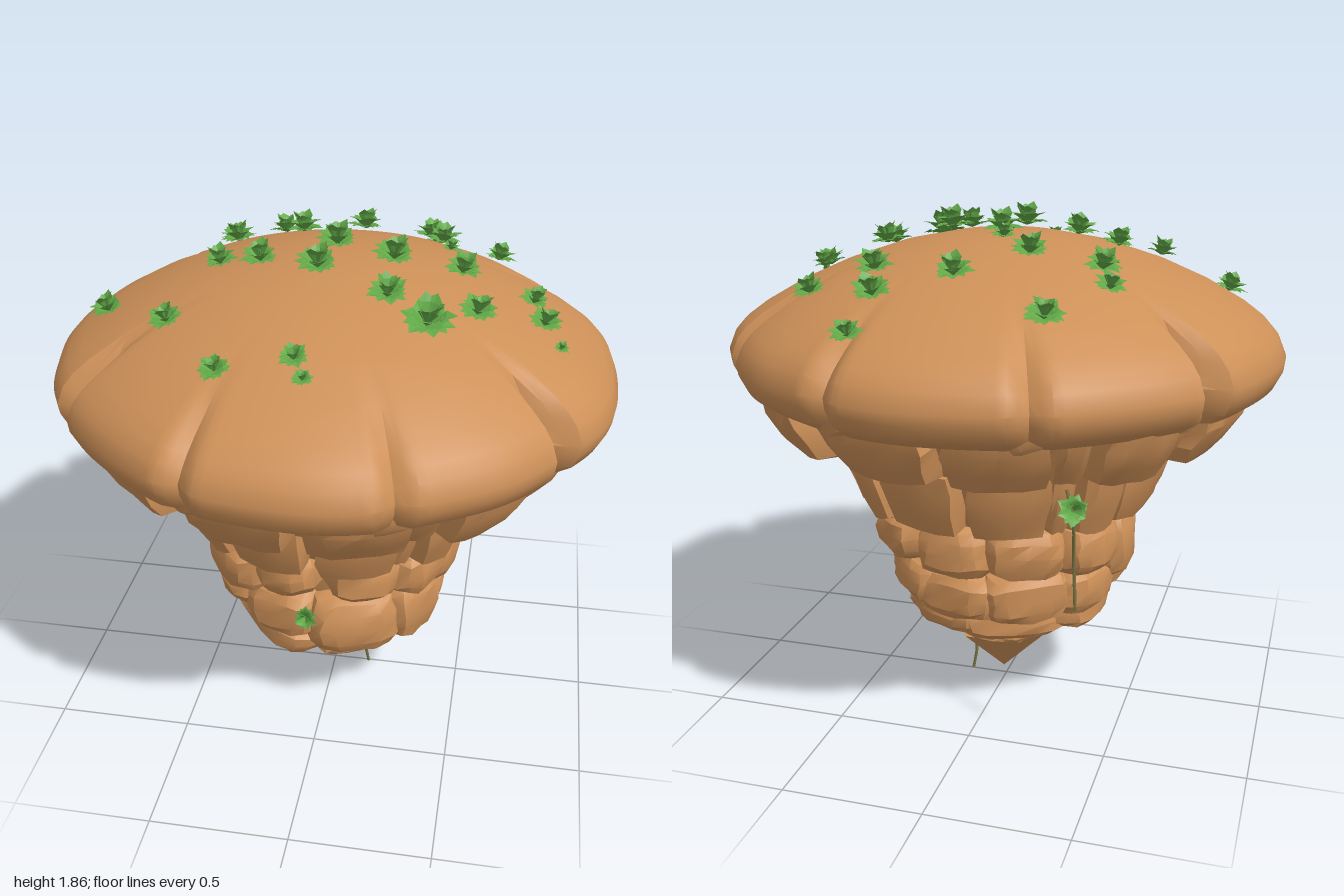
import * as THREE from 'three';
import { toCreasedNormals } from 'three/addons/utils/BufferGeometryUtils.js';

const mat = (name, color, side = THREE.FrontSide) => {
  const m = new THREE.MeshStandardMaterial({ color, side });
  m.name = name;
  return m;
};
const rad = THREE.MathUtils.degToRad;
const { smoothstep } = THREE.MathUtils;

// Repeatable noise in -1..1, equal for equal positions
function noise(x, y, z, seed) {
  const q = (v) => Math.round(v * 500) / 500;
  const s = Math.sin(q(x) * 12.99 + q(y) * 78.23 + q(z) * 37.72 + seed * 9.17) * 43758.5453;
  return (s - Math.floor(s)) * 2 - 1;
}

// Moves every vertex by a rule, then restores normals with sharp creases
function reshape(geo, rule, crease = 0.5) {
  const p = geo.attributes.position;
  const v = new THREE.Vector3();
  for (let i = 0; i < p.count; i++) {
    rule(v.fromBufferAttribute(p, i));
    p.setXYZ(i, v.x, v.y, v.z);
  }
  return toCreasedNormals(geo, crease);
}

// Rounded unit block (-1..1) with rough sides
function roughen(v, power, rough, seed) {
  const n = [noise(v.x, v.y, v.z, seed), noise(v.y, v.z, v.x, seed + 3), noise(v.z, v.x, v.y, seed + 7)];
  const k = (Math.abs(v.x) ** power + Math.abs(v.y) ** power + Math.abs(v.z) ** power) ** (-1 / power);
  v.multiplyScalar(k);
  v.x += n[0] * rough; v.y += n[1] * rough; v.z += n[2] * rough;
}

// Block bent round the axis between two angles
function ringBlock(a0, a1, y0, y1, rIn, rTop, rBottom, seed) {
  return reshape(new THREE.BoxGeometry(2, 2, 2, 4, 3, 2), (v) => {
    roughen(v, 6, 0.05, seed);
    const a = rad((a0 + a1) / 2 + (v.x * (a1 - a0)) / 2);
    const t = (v.y + 1) / 2;
    const rOut = rBottom + (rTop - rBottom) * t;
    const r = rIn + ((rOut - rIn) * (v.z + 1)) / 2;
    v.set(r * Math.sin(a), y0 + (y1 - y0) * t, r * Math.cos(a));
  });
}

function boulder(w, h, d, seed, power = 3) {
  return reshape(new THREE.BoxGeometry(2, 2, 2, 4, 4, 4), (v) => {
    roughen(v, power, 0.05, seed);
    v.set((v.x * w) / 2, (v.y * h) / 2, (v.z * d) / 2);
  }, 0.5);
}

// Cap profile from the underside up to the crown
const CAP = [[0, 1.27], [0.6, 1.25], [0.84, 1.23], [0.92, 1.235], [0.97, 1.27], [0.995, 1.32], [1, 1.36], [0.975, 1.42],
  [0.94, 1.46], [0.88, 1.505], [0.75, 1.58], [0.6, 1.647], [0.4, 1.715], [0.2, 1.757], [0, 1.77]];
// Angle and depth of each crack, deep on the sides and shallow at front and back
const CRACKS = [20, 58, 122, 160, 200, 238, 302, 340].map((a, i) => [a, i % 4 === 1 || i % 4 === 2 ? 0.09 : 0.04]);

function capHeight(r) {
  const i = CAP.findIndex(([r1], k) => k > 6 && r1 <= r);
  const [r1, y1] = CAP[i], [r0, y0] = CAP[i - 1];
  return y1 + ((y0 - y1) * (r - r1)) / (r0 - r1);
}

function capGeometry() {
  const geo = new THREE.LatheGeometry(CAP.map(([r, y]) => new THREE.Vector2(r, y)), 180);
  return reshape(geo, (v) => {
    const r = Math.hypot(v.x, v.z);
    if (r < 0.01) return;
    const deg = (THREE.MathUtils.radToDeg(Math.atan2(v.x, v.z)) + 360) % 360;
    let s = 1 + 0.004 * Math.sin(rad(deg * 11)) * smoothstep(r, 0.7, 1);
    for (const [a, depth] of CRACKS) {
      const k = Math.max(0, 1 - Math.abs(deg - a) / 3.5);
      s -= depth * k * smoothstep(r, 0.75, 0.95);
      if (v.y > 1.4) v.y -= depth * 0.5 * k * smoothstep(r, 0.66, 0.85);
    }
    // Slightly flatter lobes on the diagonals
    const diagonal = Math.abs(Math.sin(rad(2 * deg)));
    s -= 0.016 * smoothstep(diagonal, 0.6, 0.95) * smoothstep(r, 0.6, 0.95);
    v.x *= s; v.z *= s;
  }, 0.6);
}

// Rosette of pointed, folded leaves
function tuftGeometry() {
  const pos = [];
  [[11, 0.2, 0.068], [9, 0.6, 0.076], [7, 1.1, 0.074]].forEach(([count, lift, len], ring) => {
    for (let i = 0; i < count; i++) {
      const a = ((i + ring * 0.4) / count) * Math.PI * 2 + noise(i, ring, 1, 2) * 0.25;
      const l = len * (1 + 0.22 * noise(i, ring, 3, 5));
      const at = (out, side, up) => [
        out * Math.cos(a) - side * Math.sin(a), up, out * Math.sin(a) + side * Math.cos(a)];
      const base = at(0, 0, 0.005);
      const mid = at(l * 0.6 * Math.cos(lift), 0, l * 0.65 * Math.sin(lift) + 0.01);
      const tip = at(l * Math.cos(lift), 0, l * Math.sin(lift) + 0.004);
      const edge = (sd) => at(l * 0.55 * Math.cos(lift), sd * 0.026, l * 0.6 * Math.sin(lift) + 0.016);
      const L = edge(-1), R = edge(1);
      for (const tri of [[base, mid, L], [mid, tip, L], [base, R, mid], [mid, R, tip]]) pos.push(...tri.flat());
    }
  });
  const geo = new THREE.BufferGeometry();
  geo.setAttribute('position', new THREE.Float32BufferAttribute(pos, 3));
  geo.computeVertexNormals();
  return geo;
}

export function createModel() {
  const model = new THREE.Group();
  model.name = 'floatingRock';
  const rock = mat('rock', 0xcd9058);
  const leaf = mat('leaf', 0x62a948, THREE.DoubleSide);
  const stem = mat('stem', 0x7a7440);
  const add = (geo, material, name, parent = model) => {
    const m = new THREE.Mesh(geo, material);
    m.name = name;
    parent.add(m);
    return m;
  };
  const group = (name) => {
    const g = new THREE.Group();
    g.name = name;
    model.add(g);
    return g;
  };

  add(capGeometry(), rock, 'cap');

  // Core seen between the stones
  const core = [[0, 0.1], [0.16, 0.23], [0.23, 0.33], [0.31, 0.5], [0.36, 0.74], [0.43, 0.8],
    [0.54, 1.03], [0.68, 1.06], [0.8, 1.25], [0, 1.27]].map(([r, y]) => new THREE.Vector2(r, y));
  add(toCreasedNormals(new THREE.LatheGeometry(core, 24), 0.5), rock, 'core');

  // Pointed foot
  const tip = add(new THREE.ConeGeometry(0.21, 0.2, 6).toNonIndexed(), rock, 'tip');
  tip.geometry.computeVertexNormals();
  tip.rotation.set(Math.PI, 0.5, 0);
  tip.position.set(0.01, 0.135, 0);

  // Two rings of bent blocks, repeated each quarter turn
  const upper = group('upperBlocks'), lower = group('lowerBlocks');
  for (let q = 0; q < 4; q++) {
    const b = q * 90;
    [[0.8, 27, 0.925], [27, 35.5, 0.87], [35.5, 54.5, 0.94], [54.5, 63, 0.87], [63, 89.2, 0.925]].forEach(([a0, a1, r], i) =>
      add(ringBlock(b + a0, b + a1, 1.045, 1.265, 0.55, r, r - 0.13, q * 7 + i), rock, 'upperBlock', upper));
    [[1.2, 32, 0.645], [32, 41, 0.6], [41, 58, 0.655], [58, 88.8, 0.645]].forEach(([a0, a1, r], i) =>
      add(ringBlock(b + a0, b + a1, 0.78, 1.045, 0.35, r, r - 0.09, q * 5 + i + 40), rock, 'lowerBlock', lower));
  }

  // Loose stones in tiers: angle, height, distance, width, stone height, tilt
  const stones = group('boulders');
  const addTier = (depth, seed, list) => list.forEach(([a, y, r, w, h, tilt], i) => {
    const m = add(boulder(w, h, depth, seed + i), rock, 'boulder', stones);
    m.position.set(r * Math.sin(rad(a)), y, r * Math.cos(rad(a)));
    m.rotation.set(0, rad(a), rad(tilt), 'YXZ');
  });
  addTier(0.28, 80, [
    [-19, 0.69, 0.32, 0.25, 0.2, 4], [25, 0.69, 0.33, 0.28, 0.2, -3], [57, 0.68, 0.35, 0.26, 0.22, 0],
    [90, 0.67, 0.35, 0.41, 0.26, 0], [130, 0.69, 0.36, 0.32, 0.2, 4], [167, 0.68, 0.33, 0.3, 0.22, 0],
    [206, 0.69, 0.34, 0.3, 0.22, -4], [241, 0.68, 0.36, 0.28, 0.22, 0], [272, 0.64, 0.36, 0.28, 0.3, 0],
    [307, 0.67, 0.36, 0.34, 0.24, 0],
  ]);
  addTier(0.28, 100, [
    [22, 0.46, 0.29, 0.36, 0.27, 0], [-26, 0.48, 0.28, 0.32, 0.22, 8], [60, 0.48, 0.31, 0.27, 0.28, 0],
    [92, 0.48, 0.29, 0.38, 0.13, 0], [130, 0.52, 0.3, 0.32, 0.2, -3], [166, 0.49, 0.28, 0.34, 0.2, 0],
    [208, 0.5, 0.29, 0.34, 0.22, 4], [248, 0.5, 0.3, 0.32, 0.22, 0], [290, 0.52, 0.32, 0.32, 0.22, 0],
  ]);
  addTier(0.29, 120, [
    [28, 0.34, 0.2, 0.36, 0.15, 5], [-40, 0.36, 0.23, 0.4, 0.16, -10], [88, 0.36, 0.22, 0.42, 0.15, 0],
    [145, 0.37, 0.21, 0.4, 0.15, 6], [200, 0.37, 0.2, 0.4, 0.15, 0], [262, 0.38, 0.25, 0.4, 0.15, -5],
  ]);
  addTier(0.22, 140, [
    [0, 0.27, 0.09, 0.3, 0.11, 8], [-65, 0.28, 0.12, 0.26, 0.1, -8], [75, 0.29, 0.12, 0.32, 0.12, 5],
    [150, 0.27, 0.1, 0.3, 0.11, 0], [225, 0.28, 0.1, 0.3, 0.12, 0],
  ]);

  // Chips wedged in the rim cracks
  const chips = group('rimChips');
  CRACKS.forEach(([a, depth], i) => {
    const m = add(boulder(0.14, 0.1, 0.13, i + 150, 6), rock, 'chip', chips);
    const r = depth > 0.06 ? 0.84 : 0.87;
    m.position.set(r * Math.sin(rad(a)), 1.285, r * Math.cos(rad(a)));
    m.rotation.set(0.3, rad(a), 0.3, 'YXZ');
  });

  // Leafy tufts: x, z, size on the dome
  const plants = group('plants');
  const tuft = tuftGeometry();
  const addTuft = (x, y, z, size, outward) => {
    const m = add(tuft, leaf, 'tuft', plants);
    m.position.set(x, y, z);
    m.scale.setScalar(size);
    m.quaternion.setFromUnitVectors(new THREE.Vector3(0, 1, 0), outward.normalize());
    m.rotateY(x * 17 + z * 31);
  };
  [[0.28, -0.8, 0.8], [-0.31, -0.67, 1], [0.27, -0.61, 1], [0.03, -0.51, 1], [0.54, -0.49, 0.9], [0.33, -0.43, 1],
    [0.37, -0.32, 0.5], [-0.46, -0.41, 0.8], [-0.41, -0.29, 1], [-0.17, -0.31, 1], [-0.04, -0.17, 0.7], [-0.01, -0.09, 1.1],
    [0.2, 0, 1.1], [0.43, -0.05, 1], [0.68, -0.05, 0.8], [0.72, 0.09, 0.9], [0.78, 0.18, 0.4], [-0.4, 0.03, 0.9],
    [-0.25, 0.06, 1], [-0.04, 0.13, 1.1], [0.21, 0.26, 1], [0.5, 0.21, 1], [0.35, 0.36, 1.3], [-0.78, 0.14, 0.9],
    [-0.5, 0.37, 0.9], [-0.27, 0.64, 0.8], [-0.03, 0.6, 0.7], [0.01, 0.67, 0.5],
  ].forEach(([x, z, s]) => addTuft(x, capHeight(Math.hypot(x, z)) + 0.005, z, s, new THREE.Vector3(x * 0.4, 1, z * 0.4)));

  // Tufts on the sides
  addTuft(-0.04, 0.53, 0.42, 0.65, new THREE.Vector3(-0.1, 0.2, 1));
  addTuft(-0.39, 0.95, -0.59, 0.8, new THREE.Vector3(-0.5, 0.5, -0.8));
  addTuft(0.12, 0.14, 0.015, 0.3, new THREE.Vector3(1, 0.3, 0.1));

  // Hanging roots
  [[[-0.37, 1.02, -0.58], [-0.4, 0.93, -0.61], [-0.4, 0.78, -0.59], [-0.41, 0.6, -0.6]],
    [[0.1, 0.15, 0], [0.125, 0.14, 0.015], [0.128, 0.08, 0.01], [0.14, 0.005, 0.005]],
  ].forEach((pts) => {
    const curve = new THREE.CatmullRomCurve3(pts.map((p) => new THREE.Vector3(...p)));
    add(new THREE.TubeGeometry(curve, 14, 0.006, 5), stem, 'root', plants);
  });

  return model;
}
